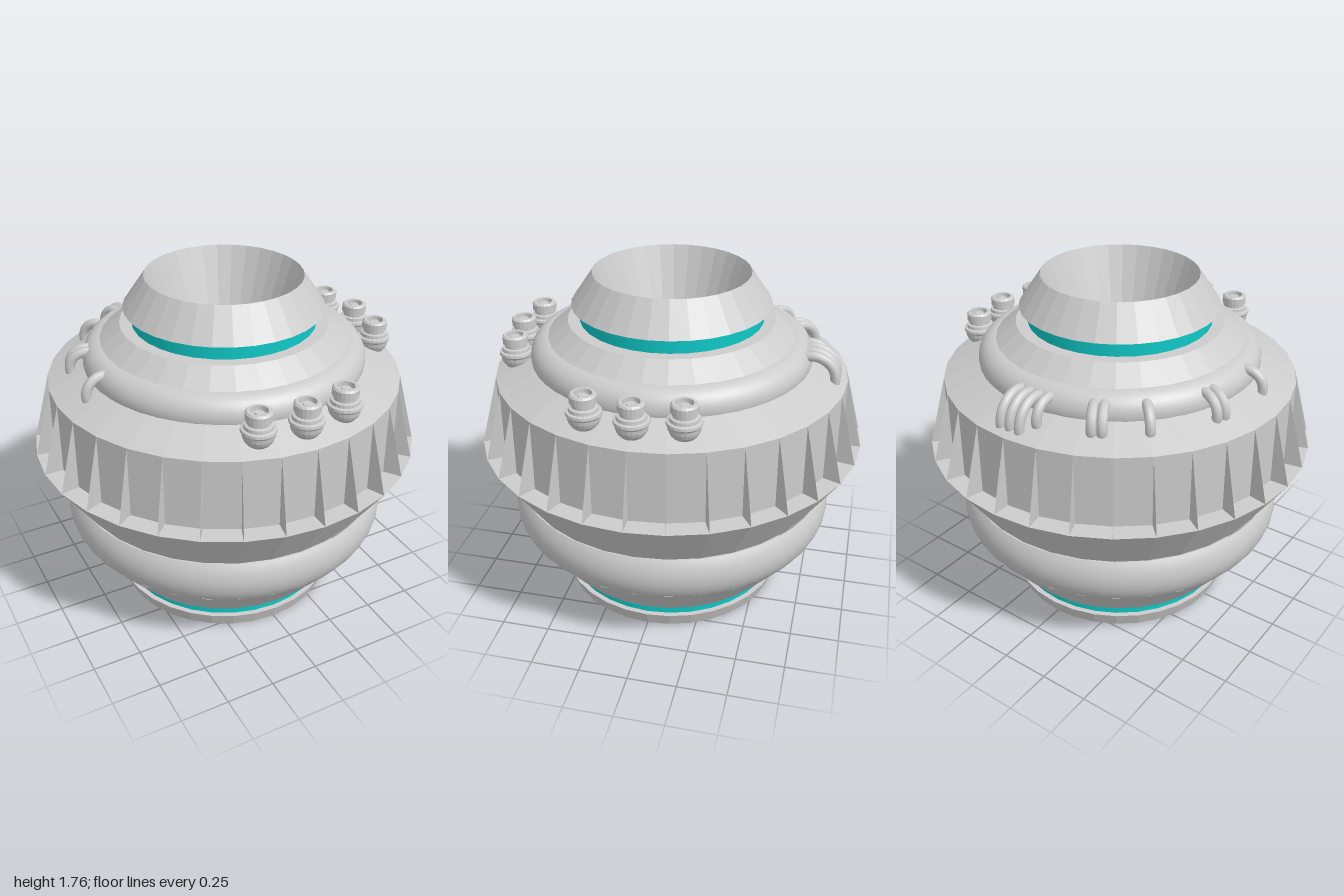
import * as THREE from 'three';

const SIDES = 32;
const grey = new THREE.MeshStandardMaterial({ color: 0xcccccc, side: THREE.DoubleSide });
const facet = new THREE.MeshStandardMaterial({ color: 0xcccccc, flatShading: true, side: THREE.DoubleSide });
const teal = new THREE.MeshStandardMaterial({ color: 0x10c8c8 });

export function createModel() {
  const model = new THREE.Group();

  const add = (name, geometry, material, parent = model) => {
    const mesh = new THREE.Mesh(geometry, material);
    mesh.name = name;
    parent.add(mesh);
    return mesh;
  };
  const lathe = (points, sides = SIDES) =>
    new THREE.LatheGeometry(points.map(([r, y]) => new THREE.Vector2(r, y)), sides);
  // Arc of profile points around (r, y), angles in degrees
  const arc = (r, y, radius, from, to, steps) =>
    Array.from({ length: steps + 1 }, (_, i) => {
      const a = THREE.MathUtils.degToRad(from + ((to - from) * i) / steps);
      return [r + radius * Math.cos(a), y + radius * Math.sin(a)];
    });

  // Stacked body, bottom to top
  add('base', lathe([[0, 0], [0.58, 0], [0.605, 0.075], [0.5, 0.075]]), facet);
  add('lowerGlowRing', lathe([[0.578, 0.07], [0.578, 0.155]]), teal);
  add('lowerHull', lathe([[0.5, 0.148], [0.625, 0.148], [0.825, 0.39]]), facet);
  add('lowerBulge', lathe(arc(0.667, 0.5, 0.191, -35.5, 35.5, 12), 48), grey);
  add('middleHull', lathe([[0.815, 0.61], [1, 0.885], [0.905, 0.885]]), facet);
  add('finBandCore', lathe([[0.905, 0.885], [0.903, 1.25]]), facet);
  add('shoulder', lathe([[0.903, 1.25], [0.7, 1.335]]), facet);
  add('upperBulge', lathe(arc(0.62, 1.345, 0.1, -30, 90, 12), 48), grey);
  add('upperHull', lathe([[0.64, 1.435], [0.525, 1.525], [0.45, 1.525]]), facet);
  add('upperGlowRing', lathe([[0.465, 1.52], [0.465, 1.61]]), teal);
  add('collar', lathe([[0.45, 1.605], [0.505, 1.605], [0.395, 1.765], [0.25, 1.36]]), facet);

  // Glowing core at the bottom of the funnel
  add('coreFloor', new THREE.CylinderGeometry(0.252, 0.252, 0.03, SIDES).translate(0, 1.35, 0), teal);
  add('coreDome', new THREE.SphereGeometry(0.23, 32, 16).translate(0, 1.3, 0), teal);

  // Thin triangular fins around the widest band
  const finShape = new THREE.Shape();
  finShape.moveTo(0.89, 0.885);
  finShape.lineTo(1, 0.885);
  finShape.lineTo(0.903, 1.25);
  finShape.lineTo(0.89, 1.25);
  const finGeometry = new THREE.ShapeGeometry(finShape);
  const fins = new THREE.Group();
  fins.name = 'fins';
  for (let i = 0; i < SIDES; i++) {
    add('fin', finGeometry, facet, fins).rotation.y = (i / SIDES) * Math.PI * 2;
  }
  model.add(fins);

  // Nozzles: rounded cup, flange, neck and hollow cap
  const nozzleGeometry = lathe([
    ...arc(0, 1.335, 0.078, -90, 0, 6),
    [0.085, 1.345], [0.083, 1.358], [0.07, 1.362], [0.068, 1.378], [0.055, 1.382],
    [0.055, 1.398], [0.064, 1.402], [0.064, 1.436], [0.056, 1.445],
    [0.042, 1.445], [0.04, 1.42], [0.024, 1.42], [0.022, 1.435], [0, 1.435],
  ], 20);
  nozzleGeometry.computeVertexNormals();
  const nozzles = new THREE.Group();
  nozzles.name = 'nozzles';
  for (const [x, z] of [[-0.23, 0.77], [0, 0.8], [0.23, 0.76], [0.76, -0.23], [0.8, 0], [0.77, 0.23]]) {
    add('nozzle', nozzleGeometry, facet, nozzles).position.set(x, 0, z);
  }
  model.add(nozzles);

  // Pipe hoops arching from the upper bulge down to the shoulder:
  // [x, z of the hoop's inner end, heading in degrees, arch radius]
  const hoops = new THREE.Group();
  hoops.name = 'pipeHoops';
  const hoop = (x, z, degrees, radius) => {
    const geometry = new THREE.TorusGeometry(radius, 0.025, 10, 20, Math.PI * 1.15);
    geometry.rotateZ(-Math.PI * 0.1);
    const mesh = add('pipeHoop', geometry, grey, hoops);
    mesh.position.set(x, 1.4 - radius, z);
    mesh.rotation.y = THREE.MathUtils.degToRad(degrees);
  };
  hoop(-0.1, -0.7, 90, 0.085);
  for (const x of [-0.045, 0.01, 0.065]) hoop(x, -0.722, 90, 0.12);
  // Smaller hoops set out radially: heading and sideways offset
  for (const [degrees, offset] of [
    [118, -0.024], [118, 0.024], [135.5, 0], [161.5, -0.024], [161.5, 0.024], [186.2, 0],
  ]) {
    const a = THREE.MathUtils.degToRad(degrees);
    const r = 0.7;
    hoop(r * Math.cos(a) - offset * Math.sin(a), -r * Math.sin(a) - offset * Math.cos(a), degrees, 0.085);
  }
  model.add(hoops);

  return model;
}
